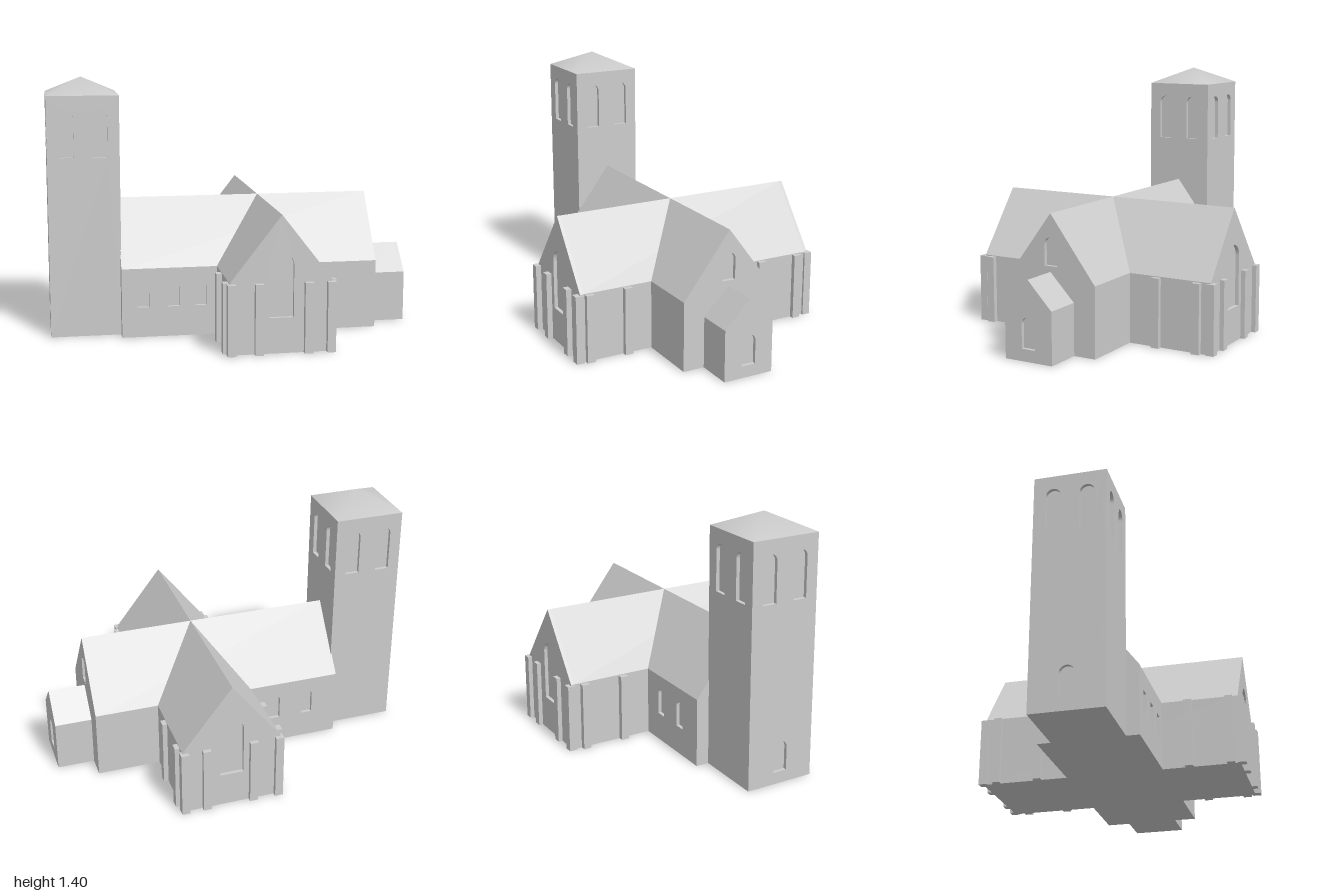
import * as THREE from 'three';
import { mergeVertices } from 'three/addons/utils/BufferGeometryUtils.js';

const D = 0.02; // wall panel thickness, also the depth of window recesses
const stone = new THREE.MeshStandardMaterial({ color: 0xcccccc });
stone.name = 'pale stone';

function add(parent, name, geometry) {
  const mesh = new THREE.Mesh(geometry, stone);
  mesh.name = name;
  parent.add(mesh);
  return mesh;
}

const polygon = (points) => new THREE.Shape(points.map(([x, y]) => new THREE.Vector2(x, y)));

const rectangle = (half, height) => [[-half, 0], [half, 0], [half, height], [-half, height]];

// Window opening: round-headed, or square when arched is false
function opening({ u, w, bottom, top, arched = true }) {
  const r = w / 2;
  const path = new THREE.Path();
  path.moveTo(u - r, bottom);
  path.lineTo(u + r, bottom);
  if (arched) {
    path.lineTo(u + r, top - r);
    path.absarc(u, top - r, r, 0, Math.PI, false);
  } else {
    path.lineTo(u + r, top);
    path.lineTo(u - r, top);
  }
  path.closePath();
  return path;
}

// Wall panel facing the given angle, its outer face at distance from the centre
function panel(parent, name, outline, windows, angle, distance) {
  const shape = polygon(outline);
  shape.holes = windows.map(opening);
  const geometry = new THREE.ExtrudeGeometry(shape, { depth: D, bevelEnabled: false, curveSegments: 8 });
  geometry.translate(0, 0, distance - D);
  geometry.rotateY(angle);
  add(parent, name, geometry);
}

// Gabled block running along its local z, centred on its ridge
function gabledBlock(name, half, eave, ridge, length, windows) {
  const group = new THREE.Group();
  group.name = name;
  const { front = [], back = [], left = [], right = [] } = windows;
  const gable = [[-half, 0], [half, 0], [half, eave], [0, ridge], [-half, eave]];
  const inner = half - D;
  const core = polygon([[-inner, 0], [inner, 0], [inner, eave], [half, eave],
    [0, ridge], [-half, eave], [-inner, eave]]);
  const depth = length - 2 * D;
  const geometry = new THREE.ExtrudeGeometry(core, { depth, bevelEnabled: false });
  geometry.translate(0, 0, -depth / 2);
  add(group, name + ' roof and core', geometry);
  panel(group, name + ' front gable', gable, front, 0, length / 2);
  panel(group, name + ' back gable', gable, back, Math.PI, length / 2);
  const side = rectangle(depth / 2, eave);
  panel(group, name + ' left wall', side, left, Math.PI / 2, half);
  panel(group, name + ' right wall', side, right, -Math.PI / 2, half);
  return group;
}

function createTower() {
  const tower = new THREE.Group();
  tower.name = 'tower';
  const half = 0.193, height = 1.31, inner = half - D;
  const core = new THREE.BoxGeometry(2 * inner, height, 2 * inner);
  core.translate(0, height / 2, 0);
  add(tower, 'tower core', core);
  const belfry = [-0.09, 0.09].map((u) => ({ u, w: 0.078, bottom: 0.98, top: 1.235 }));
  const door = { u: 0, w: 0.08, bottom: 0.065, top: 0.235 };
  for (let i = 0; i < 4; i++) {
    const outline = rectangle(i % 2 ? inner : half, height);
    panel(tower, 'tower wall', outline, i === 3 ? [...belfry, door] : belfry, i * Math.PI / 2, half);
  }
  // Low pyramid with soft shading across its hips
  let roof = new THREE.ConeGeometry(half * Math.SQRT2, 0.09, 4, 1, true);
  roof.rotateY(Math.PI / 4);
  roof.deleteAttribute('normal');
  roof.deleteAttribute('uv');
  roof = mergeVertices(roof, 1e-4);
  roof.computeVertexNormals();
  roof.translate(0, height + 0.045, 0);
  add(tower, 'tower roof', roof);
  return tower;
}

export function createModel() {
  const model = new THREE.Group();
  model.name = 'church';

  // Nave, running along x
  const naveX = 0.088, naveZ = 0.027;
  const nave = gabledBlock('nave', 0.264, 0.38, 0.73, 1.415, {
    front: [{ u: 0, w: 0.075, bottom: 0.455, top: 0.605 }],
    right: [-0.503, -0.338, -0.19].map((x) =>
      ({ u: x - naveX, w: 0.064, bottom: 0.165, top: 0.275, arched: false })),
    left: [-0.443, -0.246].map((x) => ({ u: naveX - x, w: 0.064, bottom: 0.155, top: 0.305 })),
  });
  nave.rotation.y = Math.PI / 2;
  nave.position.set(naveX, 0, naveZ);
  model.add(nave);

  // Transept, crossing the nave along z
  const tall = [{ u: 0, w: 0.13, bottom: 0.19, top: 0.53 }];
  const transept = gabledBlock('transept', 0.272, 0.38, 0.73, 1.418, { front: tall, back: tall });
  transept.position.set(0.172, 0, -0.003);
  model.add(transept);

  // Small end chapel
  const chapel = gabledBlock('chapel', 0.141, 0.28, 0.425, 0.225, {
    front: [{ u: 0, w: 0.08, bottom: 0.065, top: 0.232 }],
  });
  chapel.rotation.y = Math.PI / 2;
  chapel.position.set(0.8875, 0, 0.03);
  model.add(chapel);

  const tower = createTower();
  tower.position.set(-0.807, 0, 0.028);
  model.add(tower);

  // Buttresses around the transept arms
  const buttress = (x, z) => {
    const geometry = new THREE.BoxGeometry(0.045, 0.375, 0.045);
    geometry.translate(x, 0.1875, z);
    add(model, 'buttress', geometry);
  };
  for (const z of [-0.7135, 0.7135]) {
    for (const x of [-0.091, 0.053, 0.314, 0.434]) buttress(x, z);
  }
  for (const x of [-0.1075, 0.4475]) {
    for (const z of [-0.635, -0.4, 0.436, 0.657]) buttress(x, z);
  }
  return model;
}
